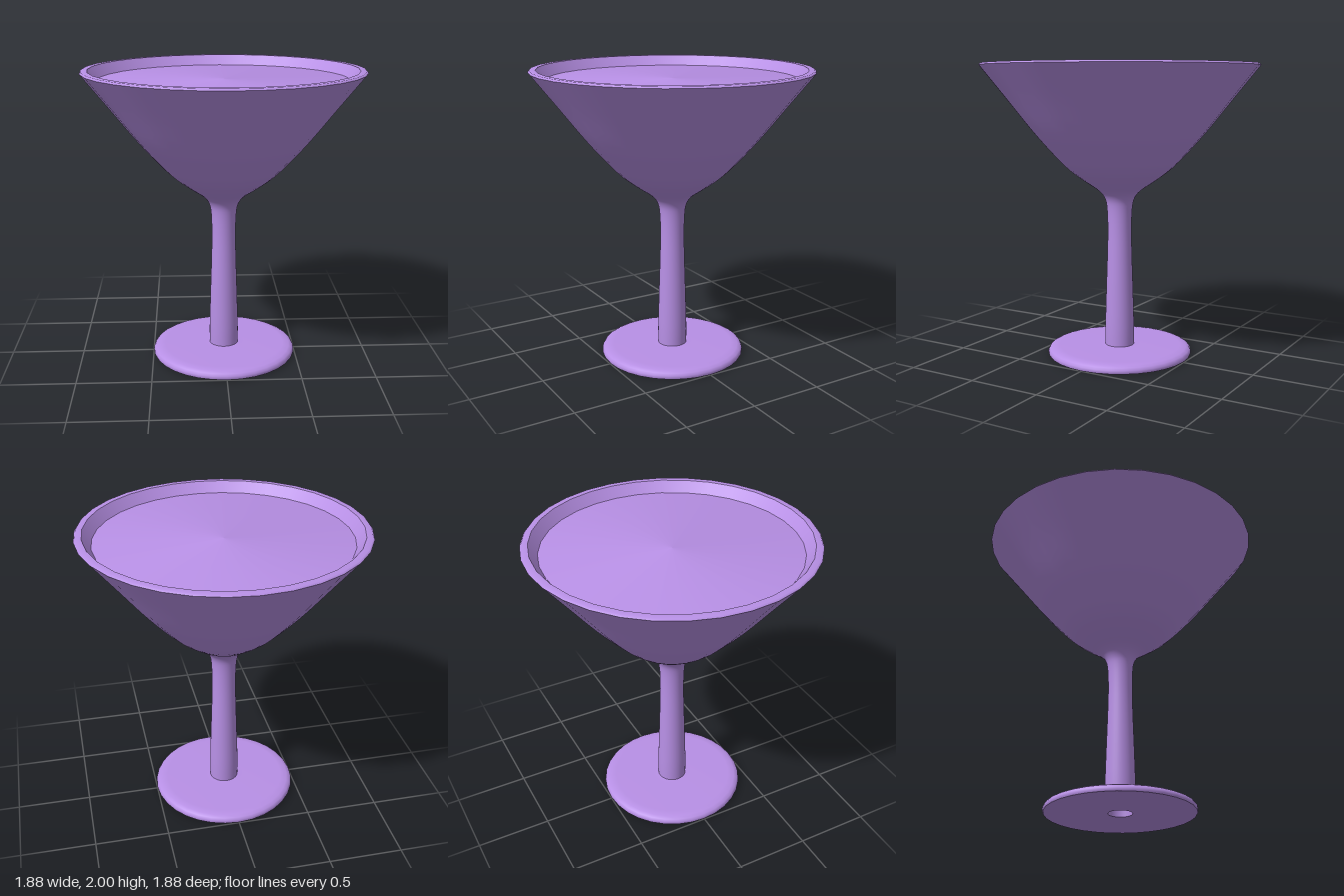
import * as THREE from 'three';

const SIDES = 32;
const material = new THREE.MeshStandardMaterial({ color: 0xb890e6 });

// Turned part from [radius, height] points; the surface faces right of an upward profile
function turned(name, points) {
  const profile = points.map(([r, y]) => new THREE.Vector2(r, y));
  const mesh = new THREE.Mesh(new THREE.LatheGeometry(profile, SIDES), material);
  mesh.name = name;
  return mesh;
}

// Smooth curve through a few profile points
function smooth(points, divisions) {
  const curve = new THREE.SplineCurve(points.map(([r, y]) => new THREE.Vector2(r, y)));
  return curve.getPoints(divisions).map((p) => [p.x, p.y]);
}

// Nearly flat drink with a softly crowned, fan-shaded surface
function drinkSurface(radius, level) {
  const geometry = new THREE.ConeGeometry(radius, 0.12, SIDES, 1, true);
  const pos = geometry.attributes.position;
  for (let i = 0; i < pos.count; i++) {
    pos.setY(i, pos.getY(i) > 0 ? level + 0.004 : level);
  }
  const mesh = new THREE.Mesh(geometry, material);
  mesh.name = 'drink';
  return mesh;
}

export function createModel() {
  const glass = new THREE.Group();
  glass.name = 'cocktailGlass';

  // Foot with a rounded edge, a flat underside and a hollow running up the stem
  glass.add(
    turned('stemHollow', [[0, 1.0], [0.06, 1.0], [0.08, 0]]),
    turned('footUnderside', [[0.08, 0], [0.495, 0]]),
    turned('foot', [
      [0.495, 0], [0.5, 0.01], [0.498, 0.025], [0.488, 0.04],
      [0.465, 0.051], [0.42, 0.057], [0.14, 0.058], [0.1, 0.06],
    ]),
  );

  // Tapered stem flaring into the bowl
  glass.add(turned('stemAndBowl', smooth([
    [0.1, 0.055], [0.1, 0.2], [0.093, 0.45], [0.085, 0.7], [0.082, 0.88],
    [0.087, 1.02], [0.103, 1.09], [0.145, 1.142], [0.23, 1.2], [0.345, 1.285],
    [0.46, 1.4], [0.6, 1.56], [0.77, 1.775], [0.94, 1.988],
  ], 52)));

  // Rim, inner wall and drink
  glass.add(
    turned('rim', [[0.94, 1.988], [0.93, 2], [0.89, 2]]),
    turned('bowlInside', [[0.89, 2], [0.835, 1.93], [0.55, 1.57], [0.3, 1.31], [0, 1.2]]),
    drinkSurface(0.835, 1.93),
  );

  return glass;
}
